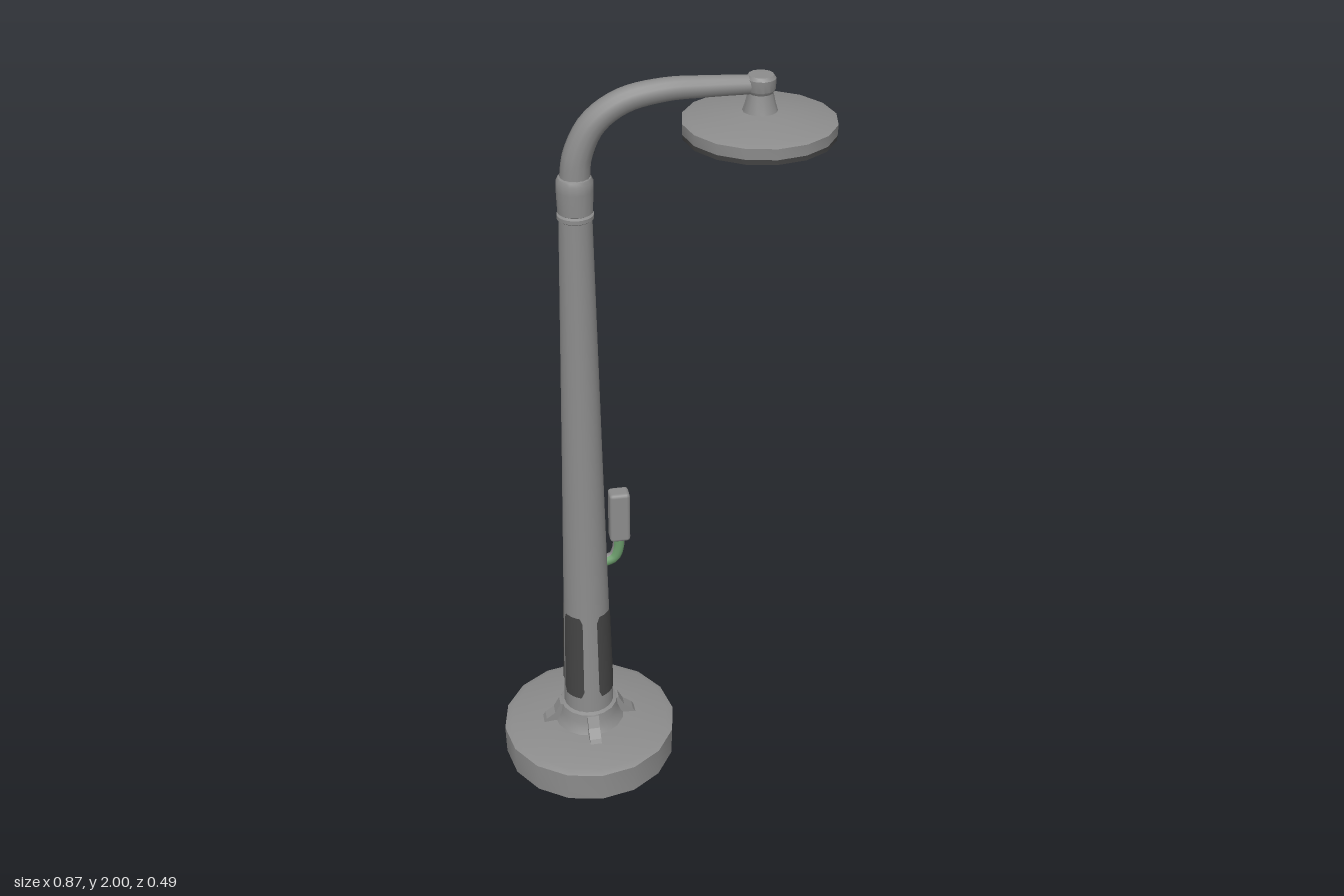
import * as THREE from 'three';
import { toCreasedNormals } from 'three/addons/utils/BufferGeometryUtils.js';
import { RoundedBoxGeometry } from 'three/addons/geometries/RoundedBoxGeometry.js';

const material = (name, color, side = THREE.FrontSide) => {
  const m = new THREE.MeshStandardMaterial({ color, side });
  m.name = name;
  return m;
};

export function createModel() {
  const group = new THREE.Group();
  const grey = material('grey metal', 0x8c8c8c);
  const dark = material('dark panel', 0x444444, THREE.DoubleSide);
  const lens = material('lens grey', 0x949494);
  const green = material('green cable', 0x6a9a6a);
  const postX = -0.195, headX = 0.247;

  const add = (name, geometry, mat, x = 0, y = 0, z = 0) => {
    const mesh = new THREE.Mesh(geometry, mat);
    mesh.name = name;
    mesh.position.set(x, y, z);
    group.add(mesh);
    return mesh;
  };
  const lathe = (points, sides) => toCreasedNormals(
    new THREE.LatheGeometry(points.map(p => new THREE.Vector2(...p)), sides), 0.6);

  // Foot: heavy disc with a shallow domed top
  add('base', lathe([[0, 0], [0.242, 0], [0.244, 0.088], [0.225, 0.096], [0.1, 0.108], [0, 0.108]], 16), grey, postX);

  // Flared socket and its four gussets
  add('baseFlare', lathe([[0.105, 0.1], [0.092, 0.118], [0.084, 0.14], [0.08, 0.165], [0.068, 0.17]], 16), grey, postX);
  const finShape = new THREE.Shape([[0.06, 0.1], [0.135, 0.1], [0.125, 0.116], [0.1, 0.135], [0.084, 0.165], [0.06, 0.165]]
    .map(p => new THREE.Vector2(...p)));
  const finGeometry = new THREE.ExtrudeGeometry(finShape, { depth: 0.032, bevelEnabled: false }).translate(0, 0, -0.016);
  for (let i = 0; i < 4; i++) add('baseGusset', finGeometry, grey, postX).rotation.y = i * Math.PI / 2;

  // Tapered post, neck ring and collar
  add('post', lathe([[0.07, 0.16], [0.063, 0.5], [0.053, 1], [0.041, 1.665],
    [0.045, 1.668], [0.045, 1.678], [0.039, 1.682]], 24), grey, postX);
  add('collar', lathe([[0.036, 1.68], [0.043, 1.684], [0.045, 1.74], [0.045, 1.762], [0.04, 1.772], [0.034, 1.775]], 16), grey, postX);

  // Four dark access panels with clipped corners
  const panelGeometry = new THREE.CylinderGeometry(0.066, 0.0715, 0.28, 8, 1, true, -0.48, 0.96);
  const pp = panelGeometry.attributes.position;
  for (let i = 0; i < pp.count; i++) {
    const column = i % 9;
    if (column === 0 || column === 8) pp.setY(i, pp.getY(i) - Math.sign(pp.getY(i)) * 0.02);
  }
  for (let i = 0; i < 4; i++) {
    add('accessPanel', panelGeometry, dark, postX, 0.36).rotation.y = Math.PI / 4 + i * Math.PI / 2;
  }

  // Curved arm, narrowing toward the head
  const armPath = new THREE.CatmullRomCurve3([[-0.195, 1.76], [-0.187, 1.825], [-0.15, 1.9], [-0.08, 1.95],
    [0.02, 1.971], [0.12, 1.972], [0.24, 1.969]].map(([x, y]) => new THREE.Vector3(x, y, 0)));
  const armSteps = 28, armSides = 14;
  const armGeometry = new THREE.TubeGeometry(armPath, armSteps, 0.037, armSides);
  const ap = armGeometry.attributes.position, v = new THREE.Vector3();
  for (let i = 0; i < ap.count; i++) {
    const t = Math.floor(i / (armSides + 1)) / armSteps, c = armPath.getPointAt(t);
    v.fromBufferAttribute(ap, i).sub(c).multiplyScalar(1 - 0.4 * t).add(c);
    ap.setXYZ(i, v.x, v.y, v.z);
  }
  add('arm', armGeometry, grey);
  const sensor = add('armSensor', new THREE.CylinderGeometry(0.009, 0.009, 0.008, 10), dark, -0.152, 1.837);
  sensor.rotation.z = -1.2;

  // Lamp head: hub, shallow disc, dark rim underneath and lens
  add('headHub', lathe([[0.044, 1.9], [0.036, 1.925], [0.03, 1.95], [0.035, 1.958], [0.036, 1.985], [0.03, 1.993], [0, 1.994]], 14), grey, headX);
  add('headDisc', lathe([[0.185, 1.857], [0.186, 1.884], [0.17, 1.89], [0.09, 1.9], [0.045, 1.906], [0, 1.907]], 16), grey, headX);
  add('headRim', lathe([[0.11, 1.847], [0.184, 1.845], [0.185, 1.858]], 16), dark, headX);
  add('headLens', lathe([[0, 1.846], [0.12, 1.846], [0.12, 1.85]], 16), lens, headX);

  // Small control box on the post's left side
  add('controlBox', new RoundedBoxGeometry(0.055, 0.152, 0.046, 2, 0.01), grey, -0.1, 0.792);

  // Bent cable entry: green sides, grey outer and inner faces
  const cablePath = new THREE.CatmullRomCurve3([[-0.102, 0.725], [-0.104, 0.685], [-0.116, 0.656], [-0.15, 0.642]]
    .map(([x, y]) => new THREE.Vector3(x, y, 0)));
  const cableGeometry = new THREE.TubeGeometry(cablePath, 10, 0.016, 12);
  const index = cableGeometry.index, normals = cableGeometry.attributes.normal;
  for (let q = 0; q < index.count; q += 6) {
    const nz = (normals.getZ(index.getX(q)) + normals.getZ(index.getX(q + 4))) / 2;
    cableGeometry.addGroup(q, 6, Math.abs(nz) > 0.5 ? 0 : 1);
  }
  add('cable', cableGeometry, [green, grey]);

  return group;
}
